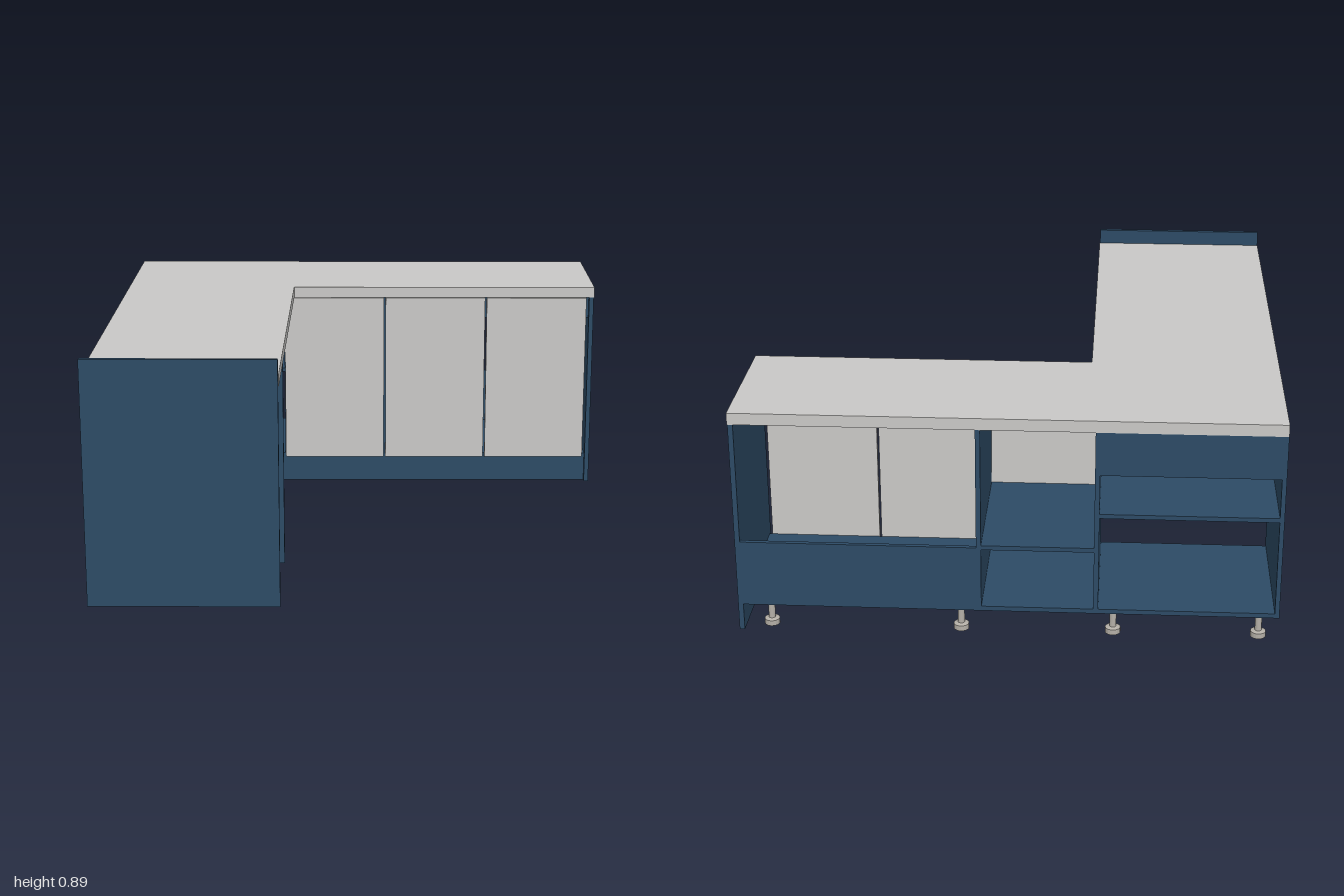
import * as THREE from 'three';

const blue = new THREE.MeshStandardMaterial({ color: 0x2d4b66 });
blue.name = 'navy board';
const grey = new THREE.MeshStandardMaterial({ color: 0xcac9c7 });
grey.name = 'pale grey board';
const metal = new THREE.MeshStandardMaterial({ color: 0xb5b0a8 });
metal.name = 'foot metal';

// Board given by its limits on each axis
function board(parent, name, mat, [x0, x1], [y0, y1], [z0, z1]) {
  const mesh = new THREE.Mesh(new THREE.BoxGeometry(x1 - x0, y1 - y0, z1 - z0), mat);
  mesh.position.set((x0 + x1) / 2, (y0 + y1) / 2, (z0 + z1) / 2);
  mesh.name = name;
  parent.add(mesh);
}

function group(parent, name) {
  const g = new THREE.Group();
  g.name = name;
  parent.add(g);
  return g;
}

// L-shaped worktop
function worktop(parent) {
  const pts = [[-0.945, -1], [0.945, -1], [0.945, -0.45], [-0.275, -0.45], [-0.275, 0.98], [-0.945, 0.98]];
  const shape = new THREE.Shape(pts.map(([x, z]) => new THREE.Vector2(x, -z)));
  const geo = new THREE.ExtrudeGeometry(shape, { depth: 0.042, bevelEnabled: false });
  geo.rotateX(-Math.PI / 2);
  const mesh = new THREE.Mesh(geo, grey);
  mesh.position.y = 0.792;
  mesh.name = 'worktop';
  parent.add(mesh);
}

// Adjustable foot: pad, stem and mounting plate
function foot(parent, x, z) {
  const profile = [[0, 0], [0.027, 0], [0.027, 0.02], [0.012, 0.024], [0.012, 0.09], [0.025, 0.094], [0.025, 0.11], [0, 0.11]];
  const geo = new THREE.LatheGeometry(profile.map(([r, y]) => new THREE.Vector2(r, y)), 20).toNonIndexed();
  geo.computeVertexNormals();
  const mesh = new THREE.Mesh(geo, metal);
  mesh.position.set(x, 0, z);
  mesh.name = 'foot';
  parent.add(mesh);
}

// Long cabinet along the back
function baseCabinet(parent) {
  const g = group(parent, 'baseCabinet');
  const depth = [-1, -0.47];
  board(g, 'cabinetFloor', blue, [-0.93, 0.925], [0.11, 0.127], depth);
  board(g, 'cornerSide', blue, [-0.945, -0.929], [0.11, 0.792], [-1, -0.45]);
  board(g, 'endSide', blue, [0.925, 0.943], [0.01, 0.792], [-1, -0.45]);
  board(g, 'plinth', blue, [-0.945, 0.925], [0.01, 0.11], [-0.487, -0.47]);
  for (const x of [-0.318, 0.088]) {
    board(g, 'divider', blue, [x, x + 0.017], [0.127, 0.792], depth);
  }
  board(g, 'cornerShelf', blue, [-0.929, -0.318], [0.475, 0.491], depth);
  board(g, 'middleShelf', blue, [-0.301, 0.088], [0.345, 0.361], depth);
  board(g, 'cornerBackRail', blue, [-0.929, -0.318], [0.635, 0.792], [-1, -0.984]);
  board(g, 'lowBackPanel', blue, [0.105, 0.925], [0.11, 0.352], [-1, -0.984]);
  board(g, 'doorRail', blue, [0.105, 0.925], [0.705, 0.792], [-0.486, -0.47]);

  // Three doors
  for (let i = 0; i < 3; i++) {
    const x = -0.315 + i * 0.412;
    board(g, 'door', grey, [x, x + 0.405], [0.116, 0.789], [-0.469, -0.452]);
  }
  for (const x of [-0.88, -0.37, 0.165, 0.84]) {
    for (const z of [-0.925, -0.55]) foot(g, x, z);
  }
}

// Drawer pedestal carrying the front end
function pedestal(parent) {
  const g = group(parent, 'pedestal');
  board(g, 'endPanel', blue, [-0.945, -0.277], [0.01, 0.89], [0.982, 1]);
  board(g, 'innerSide', blue, [-0.925, -0.28], [0.01, 0.792], [0.54, 0.557]);
  board(g, 'nicheShelf', blue, [-0.909, -0.3], [0.632, 0.648], [0.557, 0.982]);
  board(g, 'frontPlinth', blue, [-0.32, -0.302], [0.01, 0.108], [0.557, 0.982]);
  board(g, 'backPlinth', blue, [-0.925, -0.909], [0.01, 0.108], [0.557, 0.982]);

  // Drawers, each an open-topped box behind its front
  const levels = [0.112, 0.352, 0.492, 0.632];
  for (let i = 0; i < 3; i++) {
    const d = group(g, 'drawer');
    const y0 = levels[i], y1 = levels[i + 1] - 0.006;
    const b = y0 + 0.025, t = y1 - 0.03;
    board(d, 'drawerFront', grey, [-0.319, -0.301], [y0, y1], [0.561, 0.979]);
    board(d, 'drawerBottom', grey, [-0.86, -0.32], [b - 0.006, b], [0.575, 0.965]);
    board(d, 'drawerBack', blue, [-0.86, -0.845], [b, t], [0.575, 0.965]);
    for (const z of [0.575, 0.95]) {
      board(d, 'drawerSide', blue, [-0.845, -0.32], [b, t], [z, z + 0.015]);
    }
  }
}

export function createModel() {
  const model = new THREE.Group();
  model.name = 'cornerDesk';
  worktop(model);
  baseCabinet(model);
  pedestal(model);
  // Apron linking pedestal and cabinet under the worktop
  board(model, 'apron', blue, [-0.925, -0.909], [0.632, 0.792], [-0.45, 0.54]);
  board(model, 'nicheBack', blue, [-0.925, -0.909], [0.632, 0.792], [0.557, 0.982]);
  return model;
}
